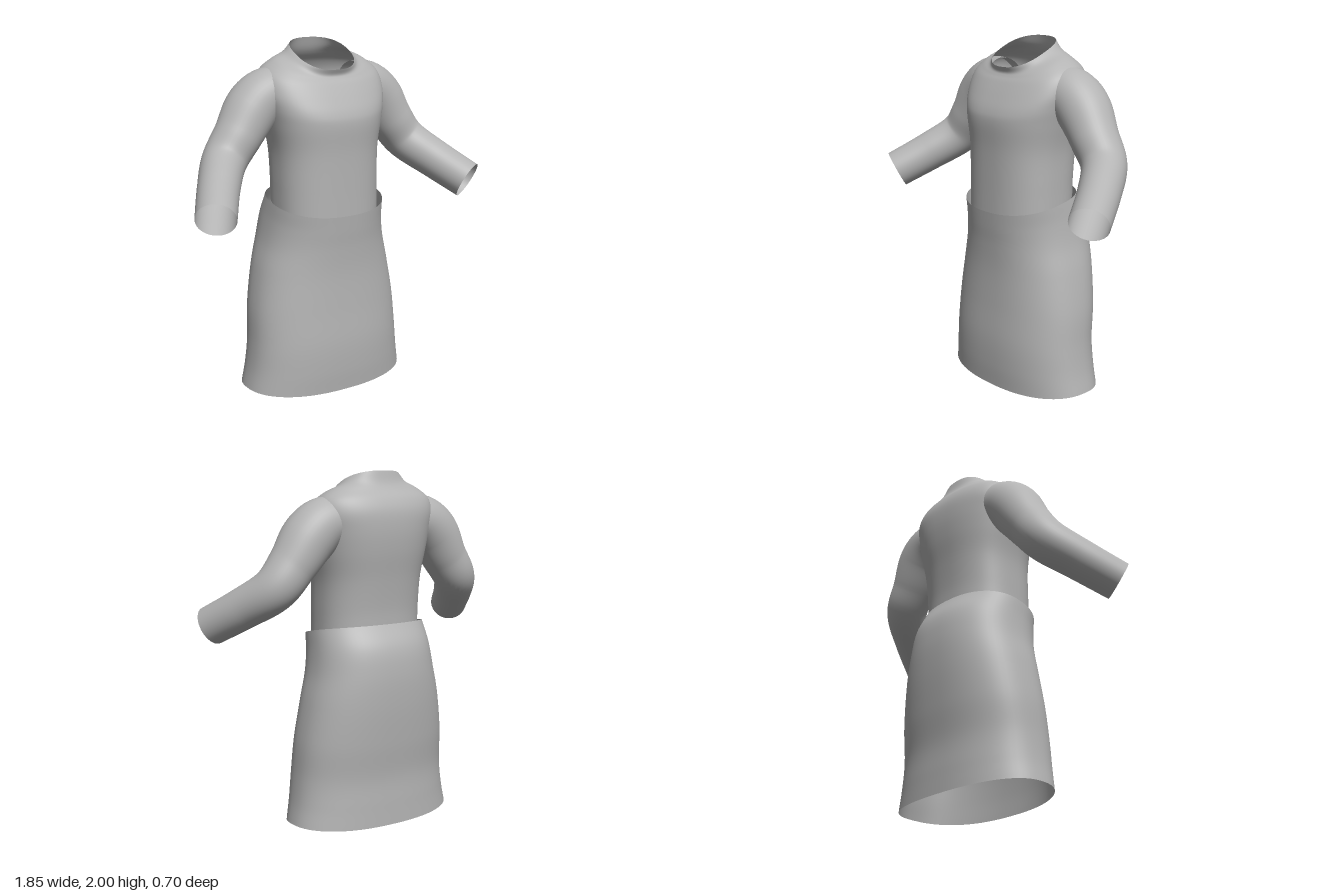
import * as THREE from 'three';

const cloth = new THREE.MeshStandardMaterial({ color: 0xb3b3b3, side: THREE.DoubleSide });
cloth.name = 'grey cloth';

// Open tube through oval rings: [front y, side y, back y, half width, front z, back z]
function loft(name, rows, boxiness, segments = 64, steps = 48) {
  const heights = new THREE.CatmullRomCurve3(
    rows.map((r) => new THREE.Vector3(r[0], r[1], r[2])), false, 'catmullrom');
  const sizes = new THREE.CatmullRomCurve3(
    rows.map((r) => new THREE.Vector3(r[3], r[4], r[5])), false, 'catmullrom');
  const soften = (v) => Math.sign(v) * Math.abs(v) ** boxiness;
  const geometry = new THREE.CylinderGeometry(1, 1, 1, segments, steps, true);
  const pos = geometry.attributes.position;
  for (let j = 0; j <= steps; j++) {
    const [yf, ys, yb] = heights.getPoint(1 - j / steps).toArray();
    const [w, zf, zb] = sizes.getPoint(1 - j / steps).toArray();
    for (let i = 0; i <= segments; i++) {
      const a = ((i % segments) / segments) * Math.PI * 2;
      const u = soften(Math.cos(a));
      const y = ys + ((yf - yb) / 2) * u + ((yf + yb) / 2 - ys) * u * u;
      pos.setXYZ(j * (segments + 1) + i, w * soften(Math.sin(a)), y, (zf + zb) / 2 + ((zf - zb) / 2) * u);
    }
  }
  geometry.computeVertexNormals();
  // Match normals across the seam
  const n = geometry.attributes.normal;
  const v = new THREE.Vector3(), e = new THREE.Vector3();
  for (let j = 0; j <= steps; j++) {
    const s = j * (segments + 1);
    v.fromBufferAttribute(n, s).add(e.fromBufferAttribute(n, s + segments)).normalize();
    n.setXYZ(s, v.x, v.y, v.z);
    n.setXYZ(s + segments, v.x, v.y, v.z);
  }
  const mesh = new THREE.Mesh(geometry, cloth);
  mesh.name = name;
  return mesh;
}

// Bent sleeve: a tube whose rings are rescaled along the arm, [x, y, z, radius]
function sleeve(name, side) {
  const points = [
    [0.22, 1.735, -0.075, 0.13], [0.33, 1.71, -0.08, 0.148], [0.42, 1.635, -0.08, 0.152],
    [0.51, 1.505, -0.07, 0.134], [0.61, 1.375, -0.045, 0.124], [0.72, 1.265, 0.1, 0.115],
    [0.83, 1.155, 0.28, 0.11],
  ];
  const curve = new THREE.CatmullRomCurve3(
    points.map((p) => new THREE.Vector3(side * p[0], p[1], p[2])), false, 'catmullrom');
  const radii = new THREE.CatmullRomCurve3(
    points.map((p) => new THREE.Vector3(p[3], 0, 0)), false, 'catmullrom');
  const steps = 48, around = 40;
  const geometry = new THREE.TubeGeometry(curve, steps, 1, around, false);
  const pos = geometry.attributes.position;
  const v = new THREE.Vector3();
  for (let j = 0; j <= steps; j++) {
    const centre = curve.getPointAt(j / steps);
    const radius = radii.getPoint(curve.getUtoTmapping(j / steps)).x;
    for (let i = 0; i <= around; i++) {
      const k = j * (around + 1) + i;
      v.fromBufferAttribute(pos, k).sub(centre).multiplyScalar(radius).add(centre);
      pos.setXYZ(k, v.x, v.y, v.z);
    }
  }
  const mesh = new THREE.Mesh(geometry, cloth);
  mesh.name = name;
  return mesh;
}

export function createModel() {
  const model = new THREE.Group();
  model.name = 'dress';

  // Flared skirt with a waistline that rises towards the back
  model.add(loft('skirt', [
    [0.005, 0.03, 0.015, 0.51, 0.25, -0.308],
    [0.14, 0.15, 0.14, 0.487, 0.26, -0.305],
    [0.3, 0.3, 0.3, 0.47, 0.262, -0.303],
    [0.5, 0.5, 0.5, 0.455, 0.25, -0.325],
    [0.7, 0.72, 0.72, 0.417, 0.242, -0.342],
    [0.85, 0.88, 0.9, 0.378, 0.246, -0.342],
    [0.96, 1.01, 1.04, 0.358, 0.255, -0.318],
    [1.05, 1.12, 1.16, 0.348, 0.262, -0.252],
  ], 0.86));

  // Bodice rising from the waist to the slanted neckline
  model.add(loft('bodice', [
    [1.03, 1.08, 1.14, 0.308, 0.245, -0.243],
    [1.2, 1.22, 1.25, 0.308, 0.243, -0.247],
    [1.4, 1.4, 1.41, 0.312, 0.243, -0.265],
    [1.55, 1.55, 1.56, 0.338, 0.25, -0.288],
    [1.62, 1.66, 1.68, 0.36, 0.238, -0.297],
    [1.7, 1.75, 1.78, 0.375, 0.2, -0.29],
    [1.77, 1.83, 1.85, 0.355, 0.16, -0.262],
    [1.8, 1.885, 1.9, 0.285, 0.138, -0.222],
    [1.82, 1.91, 1.94, 0.215, 0.13, -0.2],
    [1.85, 1.935, 2.0, 0.175, 0.142, -0.182],
  ], 0.82));

  // Sleeves bent forward at the elbow
  model.add(sleeve('leftSleeve', 1), sleeve('rightSleeve', -1));
  return model;
}
